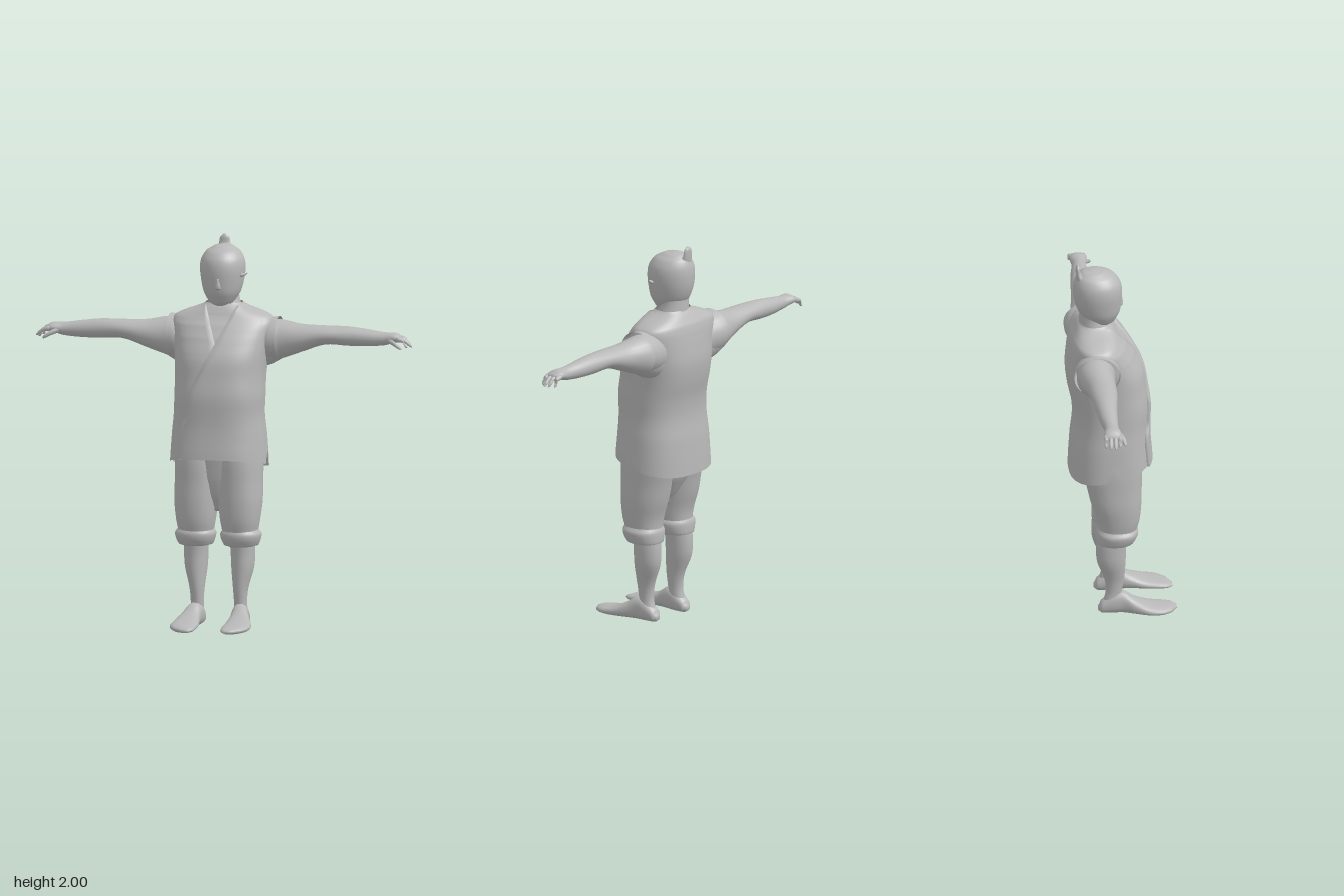
import * as THREE from 'three';

const grey = new THREE.MeshStandardMaterial({ color: 0xb8b8b8, side: THREE.DoubleSide });
grey.name = 'clay grey';

// Smoothly subdivide cross-sections [t, centreA, centreB, radiusA, radiusB]
function refine(sections, steps = 4) {
  const out = [], last = sections.length - 1;
  for (let i = 0; i < last; i++) {
    const p = [i - 1, i, i + 1, i + 2].map(k => sections[Math.min(last, Math.max(0, k))]);
    for (let s = 0; s < steps; s++) {
      const f = s / steps;
      out.push(p[1].map((b, k) => {
        const a = p[0][k], c = p[2][k], d = p[3][k];
        if (k === 0) return b + (c - b) * f;
        return b + 0.5 * f * (c - a + f * (2 * a - 5 * b + 4 * c - d + f * (3 * (b - c) + d - a)));
      }));
    }
  }
  out.push(sections[last]);
  return out;
}

// Point on a rounded-box-like ring
const power = (v, e) => Math.sign(v) * Math.pow(Math.abs(v), 2 / e);
function ringPoint(s, angle, e, grow = 0) {
  return [s[1] + (s[3] + grow) * power(Math.cos(angle), e), s[2] + (s[4] + grow) * power(Math.sin(angle), e)];
}
const place = {
  x: (t, a, b) => [t, b, a],
  y: (t, a, b) => [a, t, b],
  z: (t, a, b) => [b, a, t],
};

function makeMesh(name, positions, index) {
  const g = new THREE.BufferGeometry();
  g.setAttribute('position', new THREE.Float32BufferAttribute(positions, 3));
  g.setIndex(index);
  g.computeVertexNormals();
  const mesh = new THREE.Mesh(g, grey);
  mesh.name = name;
  return mesh;
}

// Skin a row of cross-sections along an axis
function loft(name, axis, sections, { sides = 24, e = 2, capped = true, warp = p => p } = {}) {
  const rows = refine(sections), pos = [], index = [];
  for (const s of rows) {
    for (let j = 0; j < sides; j++) {
      pos.push(...warp(place[axis](s[0], ...ringPoint(s, j / sides * Math.PI * 2, e))));
    }
  }
  for (let i = 0; i < rows.length - 1; i++) {
    for (let j = 0; j < sides; j++) {
      const k = (j + 1) % sides, a = i * sides, b = a + sides;
      index.push(a + j, b + j, a + k, b + j, b + k, a + k);
    }
  }
  if (capped) {
    const top = (rows.length - 1) * sides, centre = rows.length * sides;
    for (const s of [rows[0], rows[rows.length - 1]]) pos.push(...place[axis](s[0], s[1], s[2]));
    for (let j = 0; j < sides; j++) {
      const k = (j + 1) % sides;
      index.push(centre, j, k, centre + 1, top + k, top + j);
    }
  }
  return makeMesh(name, pos, index);
}

// Vest: body sections, sloping hem and side slits
const VEST = [
  [0.84, -0.01, -0.055, 0.25, 0.21], [1.0, -0.01, -0.055, 0.24, 0.2], [1.1, -0.01, -0.05, 0.23, 0.193],
  [1.2, -0.007, -0.052, 0.23, 0.197], [1.3, -0.007, -0.07, 0.23, 0.2], [1.4, -0.005, -0.085, 0.238, 0.195],
  [1.5, -0.003, -0.105, 0.252, 0.165], [1.56, -0.003, -0.12, 0.262, 0.14], [1.595, -0.003, -0.13, 0.25, 0.12],
  [1.62, 0, -0.13, 0.2, 0.105], [1.645, 0, -0.13, 0.13, 0.09], [1.665, 0, -0.13, 0.095, 0.075],
];
const VEST_E = 2.5;
function hem([x, y, z]) {
  const f = Math.min(1, Math.max(0, (1.1 - y) / 0.26));
  let dy = 0.2 * (z + 0.05) * f;
  if (y < 0.92 && Math.abs(x) > 0.15 && Math.abs(z + 0.055) < 0.012) dy += (0.92 - y) * 0.9;
  return [x, y + dy, z];
}
function vestSection(y) {
  const rows = refine(VEST);
  let i = 0;
  while (i < rows.length - 2 && rows[i + 1][0] < y) i++;
  const f = (y - rows[i][0]) / (rows[i + 1][0] - rows[i][0]);
  return rows[i].map((v, k) => v + (rows[i + 1][k] - v) * f);
}

// Cloth flap lying over the vest; its free edge follows [y, x] points
function flap(name, edge, endAngle, lift) {
  const rows = 40, cols = 16, pos = [], index = [];
  const y0 = edge[0][0], y1 = edge[edge.length - 1][0];
  for (let i = 0; i <= rows; i++) {
    const y = y0 + (y1 - y0) * i / rows;
    let k = 0;
    while (k < edge.length - 2 && edge[k + 1][0] < y) k++;
    const x = edge[k][1] + (edge[k + 1][1] - edge[k][1]) * (y - edge[k][0]) / (edge[k + 1][0] - edge[k][0]);
    const s = vestSection(y), r = Math.max(-0.97, Math.min(0.97, (x - s[1]) / s[3]));
    const start = Math.acos(Math.sign(r) * Math.pow(Math.abs(r), VEST_E / 2));
    for (let j = 0; j <= cols; j++) {
      const f = Math.max(0, j - 1) / (cols - 1);
      const grow = j === 0 ? -0.006 : lift * (1 - f) - 0.004 * f;
      const [a, b] = ringPoint(s, start + (endAngle - start) * f, VEST_E, grow);
      pos.push(...hem([a, y, b]));
    }
  }
  const turn = endAngle < Math.PI / 2;
  for (let i = 0; i < rows; i++) {
    for (let j = 0; j < cols; j++) {
      const a = i * (cols + 1) + j, b = a + cols + 1;
      if (turn) index.push(a, a + 1, b, b, a + 1, b + 1);
      else index.push(a, b, a + 1, b, b + 1, a + 1);
    }
  }
  return makeMesh(name, pos, index);
}

// Arm with short sleeve and hand, built on the +x side
function arm() {
  const g = new THREE.Group();
  g.add(loft('sleeve', 'x', [
    [0.17, -0.14, 1.47, 0.1, 0.11], [0.24, -0.14, 1.478, 0.118, 0.112], [0.285, -0.142, 1.485, 0.119, 0.11],
  ], { capped: false }));
  g.add(loft('arm', 'x', [
    [0.15, -0.14, 1.44, 0.09, 0.12], [0.25, -0.145, 1.463, 0.1, 0.115], [0.3, -0.148, 1.477, 0.093, 0.1],
    [0.4, -0.135, 1.487, 0.078, 0.073], [0.53, -0.13, 1.507, 0.067, 0.049], [0.65, -0.132, 1.505, 0.055, 0.05],
    [0.75, -0.13, 1.5, 0.046, 0.044], [0.84, -0.125, 1.498, 0.037, 0.034], [0.9, -0.125, 1.505, 0.045, 0.025],
    [0.935, -0.125, 1.497, 0.04, 0.016],
  ]));
  for (let i = 0; i < 4; i++) {
    const z = -0.09 - i * 0.024, reach = [0.965, 0.985, 0.98, 0.96][i];
    g.add(loft('finger', 'x', [
      [0.91, z, 1.502, 0.012, 0.013], [0.945, z, 1.493, 0.011, 0.011],
      [reach - 0.012, z - 0.002, 1.472, 0.009, 0.01], [reach, z - 0.002, 1.463, 0.003, 0.004],
    ], { sides: 8 }));
  }
  g.add(loft('thumb', 'x', [
    [0.86, -0.1, 1.495, 0.015, 0.015], [0.9, -0.075, 1.48, 0.014, 0.013],
    [0.93, -0.065, 1.463, 0.01, 0.01], [0.94, -0.065, 1.457, 0.003, 0.004],
  ], { sides: 8 }));
  return g;
}

// Leg with rolled trousers and bare foot, built on the +x side
function leg() {
  const g = new THREE.Group();
  g.add(loft('trouserLeg', 'y', [
    [0.46, 0.115, -0.028, 0.085, 0.095], [0.55, 0.115, -0.02, 0.1, 0.11], [0.65, 0.115, -0.03, 0.111, 0.13],
    [0.75, 0.112, -0.04, 0.113, 0.142], [0.85, 0.11, -0.05, 0.115, 0.155], [0.95, 0.11, -0.05, 0.11, 0.15],
  ], { e: 2.2 }));
  g.add(loft('trouserCuff', 'y', [
    [0.42, 0.118, -0.035, 0.07, 0.085], [0.425, 0.118, -0.035, 0.088, 0.097], [0.455, 0.118, -0.028, 0.1, 0.106],
    [0.485, 0.118, -0.025, 0.104, 0.107], [0.51, 0.117, -0.025, 0.088, 0.097],
  ], { e: 2.2 }));
  g.add(loft('calf', 'y', [
    [0.05, 0.115, -0.055, 0.036, 0.045], [0.12, 0.113, -0.042, 0.033, 0.042], [0.2, 0.114, -0.04, 0.039, 0.052],
    [0.3, 0.121, -0.055, 0.057, 0.073], [0.38, 0.122, -0.057, 0.062, 0.077], [0.46, 0.12, -0.05, 0.064, 0.078],
  ]));
  g.add(loft('foot', 'z', [
    [-0.122, 0.025, 0.115, 0.012, 0.015], [-0.105, 0.035, 0.115, 0.032, 0.034], [-0.05, 0.055, 0.116, 0.055, 0.042],
    [0.005, 0.06, 0.12, 0.06, 0.043], [0.06, 0.043, 0.13, 0.043, 0.054], [0.13, 0.028, 0.137, 0.028, 0.069],
    [0.2, 0.021, 0.135, 0.021, 0.069], [0.25, 0.016, 0.123, 0.016, 0.052], [0.28, 0.012, 0.11, 0.008, 0.02],
  ], { e: 2.3 }));
  return g;
}

export function createModel() {
  const model = new THREE.Group();
  model.name = 'figure';

  // Head, neck and topknot
  model.add(loft('head', 'y', [
    [1.643, -0.008, -0.085, 0.03, 0.035], [1.67, -0.008, -0.095, 0.064, 0.07], [1.72, -0.007, -0.105, 0.094, 0.105],
    [1.78, -0.006, -0.112, 0.109, 0.121], [1.84, -0.006, -0.114, 0.116, 0.126], [1.89, -0.006, -0.117, 0.11, 0.119],
    [1.93, -0.006, -0.125, 0.086, 0.096], [1.955, -0.006, -0.135, 0.046, 0.055], [1.962, -0.006, -0.14, 0.01, 0.01],
  ], { sides: 32 }));
  model.add(loft('neck', 'y', [
    [1.58, 0, -0.13, 0.11, 0.08], [1.64, 0, -0.135, 0.09, 0.075], [1.69, -0.003, -0.14, 0.077, 0.068],
    [1.75, -0.005, -0.14, 0.075, 0.065],
  ]));
  model.add(loft('nose', 'y', [
    [1.735, -0.006, -0.01, 0.012, 0.01], [1.75, -0.006, 0, 0.017, 0.017], [1.8, -0.006, -0.002, 0.008, 0.014],
  ], { sides: 12 }));
  model.add(loft('topknot', 'y', [
    [1.91, -0.018, -0.195, 0.04, 0.03], [1.95, -0.018, -0.213, 0.031, 0.014],
    [1.985, -0.018, -0.216, 0.024, 0.011], [2.0, -0.018, -0.216, 0.008, 0.005],
  ], { sides: 16 }));
  model.add(loft('ear', 'x', [
    [0.095, -0.075, 1.81, 0.018, 0.012], [0.12, -0.078, 1.815, 0.014, 0.006], [0.13, -0.08, 1.822, 0.004, 0.003],
  ], { sides: 10 }));

  // Wrapped vest
  model.add(loft('vest', 'y', VEST, { sides: 64, e: VEST_E, capped: false, warp: hem }));
  model.add(flap('vestOverlap', [
    [0.84, -0.17], [1.0, -0.168], [1.05, -0.16], [1.1, -0.13], [1.24, -0.115], [1.47, -0.005], [1.655, 0.08],
  ], 0.3, 0.014));
  model.add(flap('vestCollar', [[1.4, 0.02], [1.47, -0.005], [1.655, -0.08]], Math.PI - 0.3, 0.009));

  // Seat of the trousers
  model.add(loft('trouserSeat', 'y', [
    [0.6, -0.01, -0.04, 0.03, 0.05], [0.68, -0.01, -0.045, 0.09, 0.095],
    [0.78, -0.01, -0.06, 0.17, 0.135], [0.95, -0.01, -0.06, 0.21, 0.155],
  ]));

  // Mirrored limbs
  for (const side of [1, -1]) {
    const label = side > 0 ? 'left' : 'right';
    const a = arm(), l = leg();
    a.name = label + 'Arm';
    l.name = label + 'Leg';
    a.scale.x = l.scale.x = side;
    l.position.x = -0.01;
    model.add(a, l);
  }
  return model;
}
